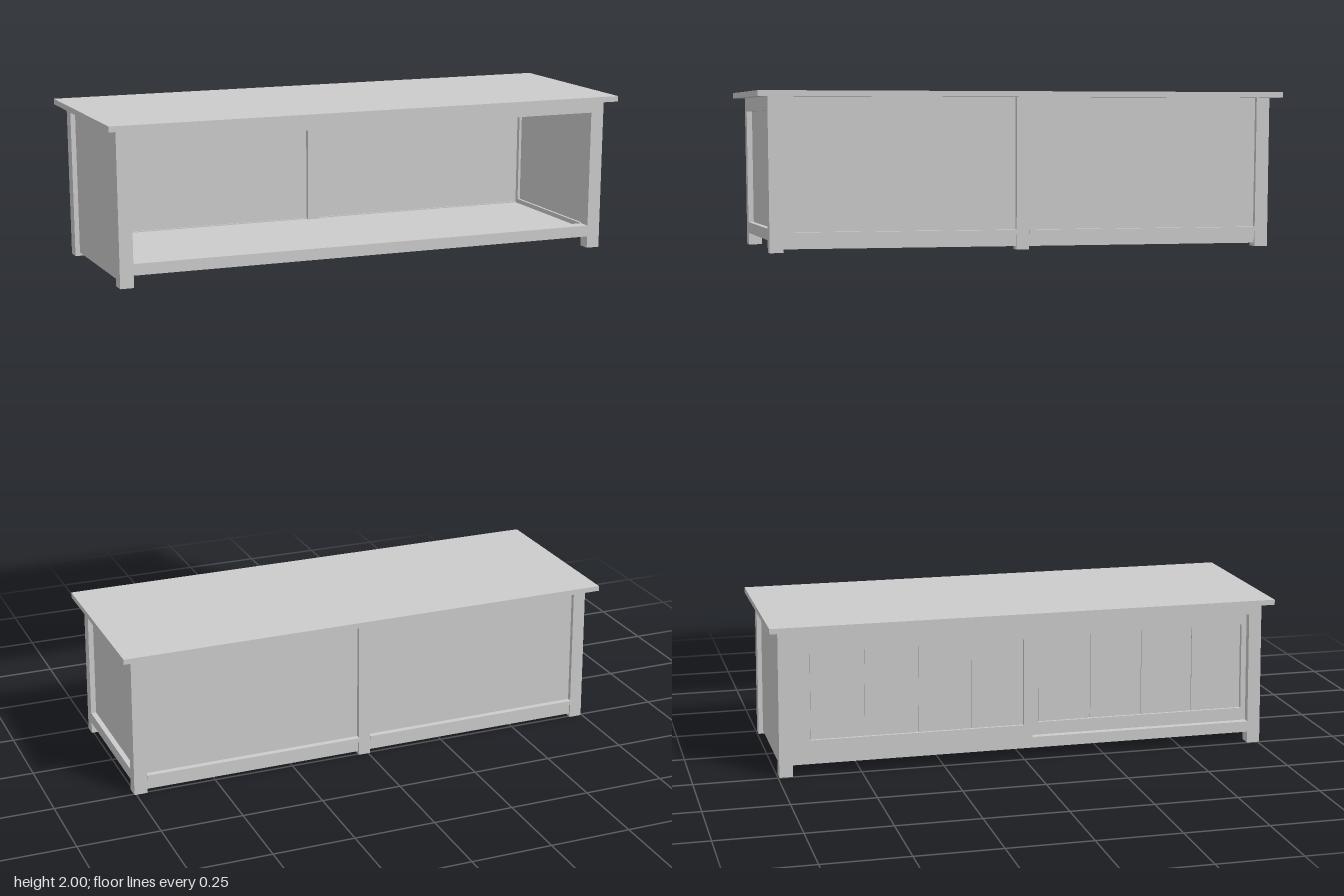
import * as THREE from 'three';

const material = new THREE.MeshStandardMaterial({ color: 0xcccccc });

// Box given by its low and high limits on each axis
function box(parent, name, [x0, x1], [y0, y1], [z0, z1]) {
  const mesh = new THREE.Mesh(new THREE.BoxGeometry(x1 - x0, y1 - y0, z1 - z0), material);
  mesh.position.set((x0 + x1) / 2, (y0 + y1) / 2, (z0 + z1) / 2);
  mesh.name = name;
  parent.add(mesh);
  return mesh;
}

const HEIGHT = 0.457, UNDER = 0.441;   // overall height, underside of the top
const X = 0.751, LEG = 0.04;           // half length over the legs, leg thickness
const FRONT = 0.251, BACK = -0.254;    // outer faces of the legs
const IX = X - LEG, IF = FRONT - LEG, IB = BACK + LEG;

// Open-fronted cabinet on short legs, framed on its +x end
function makeCabinet(name) {
  const g = new THREE.Group();
  g.name = name;
  box(g, 'top', [-0.778, 0.783], [UNDER, HEIGHT], [-0.294, 0.28]);

  for (const [x0, x1] of [[-X, -IX], [IX, X]])
    for (const z of [[IF, FRONT], [BACK, IB]])
      box(g, 'leg', [x0, x1], [0, UNDER], z);

  // Front opening
  box(g, 'frontTopRail', [-IX, IX], [0.408, UNDER], [IF, FRONT]);
  box(g, 'frontBottomRail', [-IX, IX], [0.035, 0.068], [IF, FRONT]);

  // Framed end with a recessed panel
  box(g, 'endTopRail', [IX, X], [0.401, UNDER], [IB, IF]);
  box(g, 'endBottomRail', [IX, X], [0.035, 0.068], [IB, IF]);
  box(g, 'endPanel', [IX + 0.008, X - 0.016], [0.068, 0.401], [IB, IF]);

  // Plain end
  box(g, 'plainEndPanel', [-X + 0.014, -IX - 0.006], [0.01, UNDER], [IB, IF]);

  // Back: centre post, panels, bottom rails and ledge strips
  const post = [-0.01, 0.027];
  box(g, 'backPost', post, [0, UNDER], [BACK, IB]);
  for (const x of [[-IX, post[0]], [post[1], IX]]) {
    box(g, 'backPanel', x, [0.058, UNDER], [BACK + 0.014, BACK + 0.026]);
    box(g, 'backBottomRail', x, [0.01, 0.045], [BACK + 0.006, IB - 0.01]);
    box(g, 'backLedge', x, [0.045, 0.058], [BACK - 0.004, IB - 0.01]);
  }

  box(g, 'floor', [-IX - 0.008, IX + 0.008], [0.04, 0.055], [IB - 0.01, IF]);
  return g;
}

// Sliding door: a frame around four recessed boards
function makeDoor(name, [x0, x1], [p0, p1], z) {
  const g = new THREE.Group();
  g.name = name;
  const [y0, y1, b0, b1] = [0.068, 0.408, 0.107, 0.373];
  const depth = [z - 0.02, z];
  box(g, 'doorStile', [x0, p0], [y0, y1], depth);
  box(g, 'doorStile', [p1, x1], [y0, y1], depth);
  box(g, 'doorBottomRail', [p0, p1], [y0, b0], depth);
  box(g, 'doorTopRail', [p0, p1], [b1, y1], depth);
  const w = (p1 - p0) / 4, gap = 0.003;
  box(g, 'doorBacking', [p0, p1], [b0, b1], [z - 0.02, z - 0.013]);
  for (let i = 0; i < 4; i++)
    box(g, 'doorBoard', [p0 + i * w + gap, p0 + (i + 1) * w - gap], [b0, b1], [z - 0.013, z - 0.008]);
  return g;
}

export function createModel() {
  const model = new THREE.Group();
  model.name = 'cabinetPair';

  const upper = makeCabinet('upperCabinet');
  upper.position.y = 2 - HEIGHT;

  // Lower cabinet is turned about and closed with two sliding doors
  const lower = makeCabinet('lowerCabinet');
  lower.add(makeDoor('outerDoor', [-IX, 0.02], [-0.658, -0.007], FRONT));
  lower.add(makeDoor('innerDoor', [0, IX], [0.045, 0.695], FRONT - 0.022));
  lower.rotation.y = Math.PI;
  lower.position.set(-0.005, 0, 0.002);

  model.add(upper, lower);
  return model;
}
